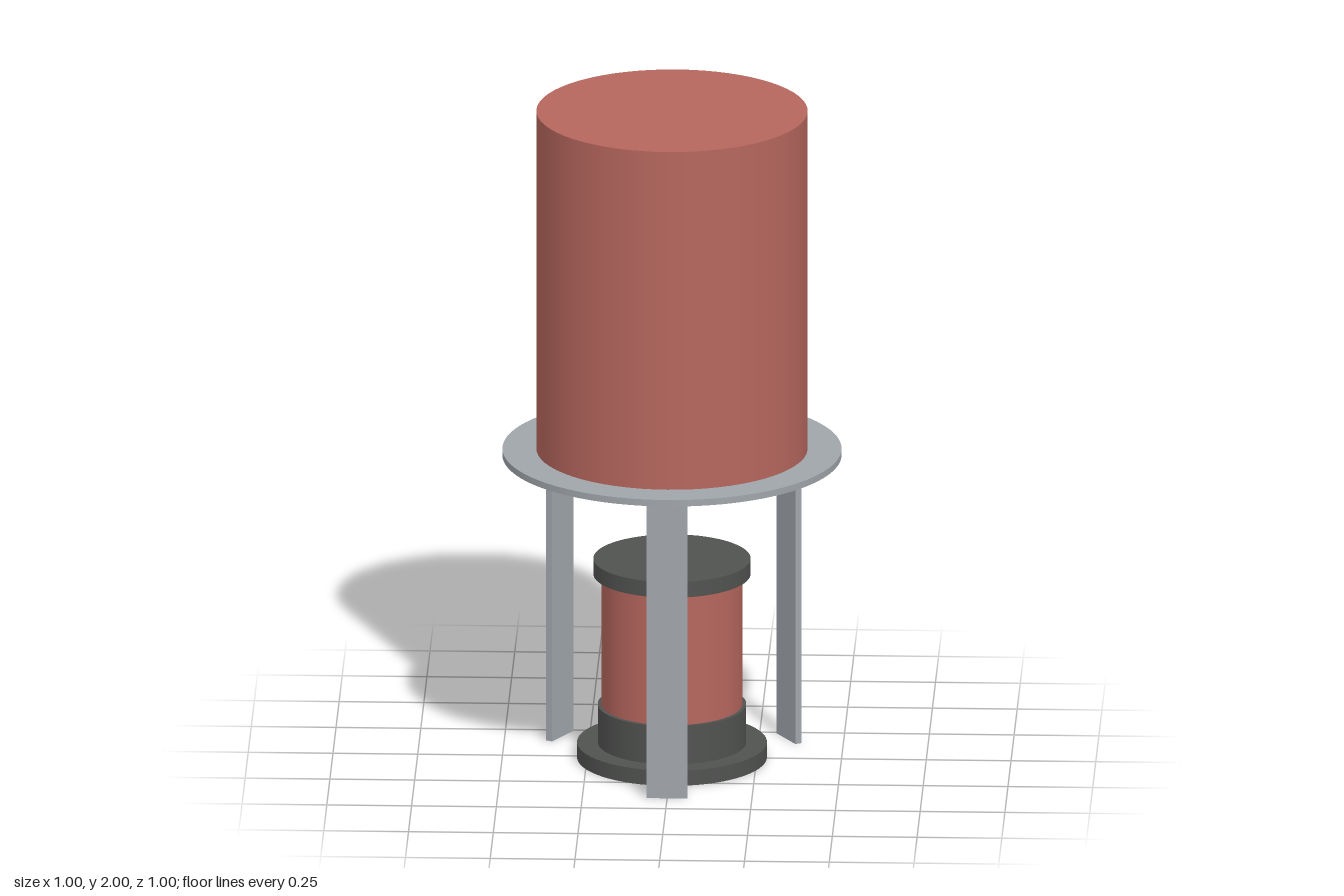
import * as THREE from 'three';

const red = new THREE.MeshStandardMaterial({ name: 'brick red', color: 0xb5665d });
const grey = new THREE.MeshStandardMaterial({ name: 'light grey', color: 0xa0a5aa });
const dark = new THREE.MeshStandardMaterial({ name: 'dark grey', color: 0x505250 });

// Upright cylinder spanning y0 to y1
function drum(name, radius, y0, y1, material) {
  const mesh = new THREE.Mesh(new THREE.CylinderGeometry(radius, radius, y1 - y0, 64), material);
  mesh.position.y = (y0 + y1) / 2;
  mesh.name = name;
  return mesh;
}

export function createModel() {
  const model = new THREE.Group();
  model.name = 'tankOnStand';

  // Large tank
  model.add(drum('tank', 0.4, 0.955, 2, red));

  // Mounting plate with a small shaft hole
  const disc = new THREE.Shape().absarc(0, 0, 0.5, 0, Math.PI * 2, false);
  disc.holes.push(new THREE.Path().absarc(0, 0, 0.02, 0, Math.PI * 2, true));
  const plateGeometry = new THREE.ExtrudeGeometry(disc, { depth: 0.02, bevelEnabled: false, curveSegments: 64 });
  plateGeometry.rotateX(-Math.PI / 2);
  const plate = new THREE.Mesh(plateGeometry, grey);
  plate.position.y = 0.935;
  plate.name = 'mountingPlate';
  model.add(plate);

  // Three flat legs around the axis
  const legGeometry = new THREE.BoxGeometry(0.12, 0.935, 0.02);
  legGeometry.translate(0, 0.4675, 0.39);
  for (let i = 0; i < 3; i++) {
    const leg = new THREE.Mesh(legGeometry, grey);
    leg.rotation.y = (i * Math.PI * 2) / 3;
    leg.name = `leg${i + 1}`;
    model.add(leg);
  }

  // Motor beneath the plate
  const motor = new THREE.Group();
  motor.name = 'motor';
  motor.add(
    drum('motorFoot', 0.28, 0, 0.047, dark),
    drum('motorCollar', 0.219, 0.047, 0.165, dark),
    drum('motorBody', 0.208, 0.165, 0.567, red),
    drum('motorCap', 0.232, 0.567, 0.615, dark),
    drum('motorShaft', 0.0125, 0.615, 0.725, dark)
  );
  model.add(motor);

  return model;
}
